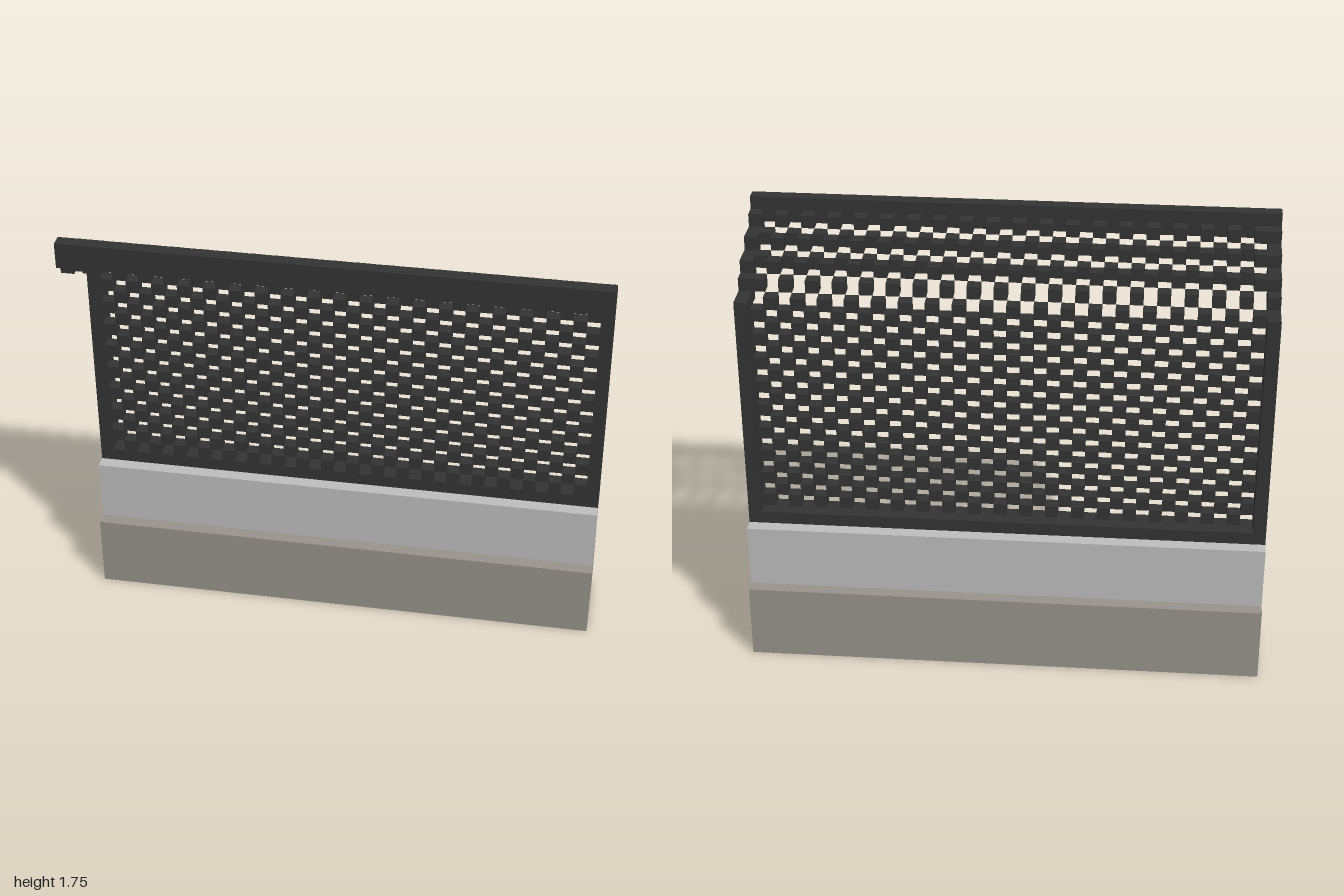
import * as THREE from 'three';
import { mergeGeometries } from 'three/addons/utils/BufferGeometryUtils.js';

const U = 0.05; // size of one block
const COLS = 40; // blocks along x

// Box covering block cells [i0,i1) x [j0,j1) x [k0,k1)
function cells(i0, i1, j0, j1, k0, k1) {
  return new THREE.BoxGeometry((i1 - i0) * U, (j1 - j0) * U, (k1 - k0) * U).translate(
    ((i0 + i1) / 2 - COLS / 2) * U,
    ((j0 + j1) / 2) * U,
    ((k0 + k1) / 2 - 5.5) * U
  );
}

export function createModel() {
  const model = new THREE.Group();
  model.name = 'fenceOnWall';

  const flat = (name, color) => {
    const m = new THREE.MeshStandardMaterial({ color });
    m.name = name;
    return m;
  };
  const iron = flat('dark iron', 0x343434);
  const concrete = flat('light concrete', 0xbfbfbf);
  const stone = flat('grey stone', 0x99958d);

  const add = (name, geometry, material) => {
    const mesh = new THREE.Mesh(geometry, material);
    mesh.name = name;
    model.add(mesh);
  };

  // Stepped wall
  add('foundation', cells(0, COLS, 0, 6, 0, 6), stone);
  add('wall', cells(0, COLS, 6, 11, 1, 5), concrete);

  // Frame
  add('bottomRail', cells(1, COLS - 1, 11, 12, 2, 4), iron);
  add('topRail', cells(0, COLS, 33, 35, 10, 11), iron);

  // Overhang steps from fence to top rail: [k, lowest j, highest j]
  const steps = [[4, 29, 30], [5, 30, 31], [6, 31, 31], [7, 31, 32], [8, 32, 32], [9, 32, 33]];

  // End posts with stepped arms
  for (const [side, i] of [['right', 0], ['left', COLS - 1]]) {
    add(side + 'Post', cells(i, i + 1, 11, 30, 2, 4), iron);
    const arm = steps.map(([k, lo, hi]) => cells(i, i + 1, lo, hi + 1, k, k + 1));
    add(side + 'Arm', mergeGeometries(arm), iron);
  }

  // One row of alternating blocks
  const row = (j, k, odd) => {
    const out = [];
    for (let i = odd ? 1 : 2; i < COLS - 1; i += 2) out.push(cells(i, i + 1, j, j + 1, k, k + 1));
    return out;
  };

  // Upright chequered mesh
  const upright = [];
  for (let j = 12; j < 30; j++) upright.push(...row(j, 3, j % 2 === 1));
  add('fenceMesh', mergeGeometries(upright), iron);

  // Chequered mesh of the overhang
  const overhang = steps.flatMap(([k, , hi]) => row(hi, k, k % 2 === 1));
  add('overhangMesh', mergeGeometries(overhang), iron);

  return model;
}
